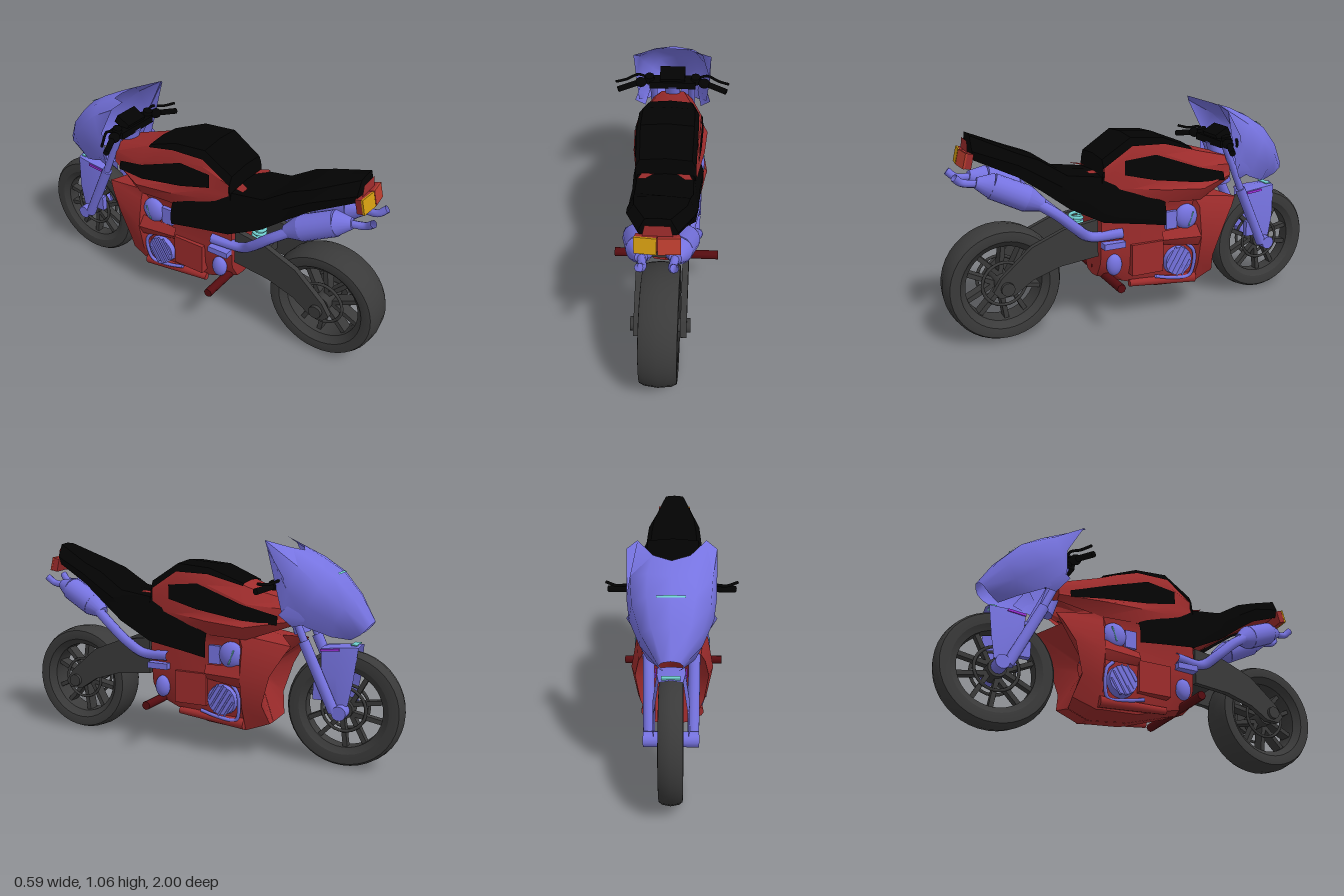
import * as THREE from 'three';
import { toCreasedNormals } from 'three/addons/utils/BufferGeometryUtils.js';

const mat = (name, color) => {
  const m = new THREE.MeshStandardMaterial({ color, side: THREE.DoubleSide });
  m.name = name;
  return m;
};

export function createModel() {
  const blue = mat('periwinkle blue', 0x7673e0), red = mat('body red', 0x9e2c2c), darkRed = mat('dark red', 0x560c10);
  const black = mat('black', 0x030303), grey = mat('tyre grey', 0x3a3a3a), amber = mat('amber', 0xd09a10);
  const lamp = mat('lamp red', 0xb83c2e), cyan = mat('cyan', 0x70d0d0), magenta = mat('magenta', 0xa030e0);
  const root = new THREE.Group();
  const V = (p) => new THREE.Vector3(...p);

  const add = (name, geo, m, parent = root) => {
    const mesh = new THREE.Mesh(geo, m);
    mesh.name = name;
    parent.add(mesh);
    return mesh;
  };
  const both = (fn) => [1, -1].forEach((s) => fn(s, s > 0 ? 'left' : 'right'));

  // Surface through rows of points
  const surface = (rows, crease = 0.6) => {
    const n = rows[0].length, idx = [];
    for (let i = 0; i < rows.length - 1; i++) {
      for (let j = 0; j < n - 1; j++) {
        const a = i * n + j, b = a + 1, c = a + n, d = c + 1;
        idx.push(a, c, b, b, c, d);
      }
    }
    const g = new THREE.BufferGeometry();
    g.setAttribute('position', new THREE.Float32BufferAttribute(rows.flat(2), 3));
    g.setIndex(idx);
    return toCreasedNormals(g, crease);
  };
  // Half rows run from the centre line outwards and are mirrored across x
  const shell = (rows, crease) => surface(rows.map((r) => [
    ...r.filter((p) => p[0] > 0).map(([x, y, z]) => [-x, y, z]).reverse(),
    ...r.filter((p, i) => p[0] > 0 || i === 0),
  ]), crease);
  const atZ = (z, pts) => pts.map(([x, y]) => [x, y, z]);

  // Straight rod between two points
  const rod = (name, a, b, r, m, r2 = r, sides = 14) => {
    const A = V(a), B = V(b), d = B.clone().sub(A);
    const mesh = add(name, new THREE.CylinderGeometry(r2, r, d.length(), sides), m);
    mesh.position.copy(A).lerp(B, 0.5);
    mesh.quaternion.setFromUnitVectors(new THREE.Vector3(0, 1, 0), d.normalize());
    return mesh;
  };
  const tube = (name, pts, r, m, seg = 28) =>
    add(name, new THREE.TubeGeometry(new THREE.CatmullRomCurve3(pts.map(V)), seg, r, 8), m);
  const box = (name, size, pos, m, parent = root) => {
    const mesh = add(name, new THREE.BoxGeometry(...size), m, parent);
    mesh.position.set(...pos);
    return mesh;
  };
  const blob = (name, size, pos, m) => {
    const mesh = add(name, new THREE.SphereGeometry(1, 18, 12), m);
    mesh.scale.set(...size);
    mesh.position.set(...pos);
  };

  // Wheels
  const wheel = (name, z, w) => {
    const g = new THREE.Group();
    g.name = name;
    g.position.set(0, 0.28, z);
    const prof = [[0.2, -0.75], [0.215, -0.95], [0.24, -1], [0.262, -0.97], [0.273, -0.7], [0.28, 0],
      [0.273, 0.7], [0.262, 0.97], [0.24, 1], [0.215, 0.95], [0.2, 0.75], [0.185, 0.6], [0.185, -0.6], [0.2, -0.75]]
      .map(([r, y]) => new THREE.Vector2(r, y * w));
    add('tyre', toCreasedNormals(new THREE.LatheGeometry(prof, 40), 0.5), grey, g).rotation.z = Math.PI / 2;
    add('hub', new THREE.CylinderGeometry(0.045, 0.045, w * 1.7, 16), grey, g).rotation.z = Math.PI / 2;
    for (let i = 0; i < 10; i++) {
      const arm = new THREE.Group();
      arm.name = 'spokeArm';
      arm.rotation.x = (i / 10) * Math.PI * 2;
      const s = add('spoke', new THREE.BoxGeometry(w * 0.7, 0.17, 0.022), grey, arm);
      s.position.y = 0.115;
      s.rotation.x = i % 2 ? 0.14 : -0.14;
      g.add(arm);
    }
    both((s, side) => {
      const disc = add(side + 'BrakeRing', new THREE.TorusGeometry(0.105, 0.008, 6, 32), grey, g);
      disc.rotation.y = Math.PI / 2;
      disc.position.x = s * w * 0.6;
    });
    root.add(g);
  };
  wheel('rearWheel', 0.72, 0.085);
  wheel('frontWheel', -0.72, 0.052);

  // Nose fairing with raised screen edges
  add('noseFairing', shell([
    [[0, 0.70, -0.845], [0.035, 0.69, -0.835], [0.05, 0.67, -0.82], [0.045, 0.64, -0.79], [0.03, 0.61, -0.74]],
    [[0, 0.82, -0.775], [0.08, 0.81, -0.76], [0.125, 0.77, -0.73], [0.13, 0.70, -0.69], [0.10, 0.63, -0.67]],
    [[0, 0.92, -0.69], [0.10, 0.91, -0.67], [0.165, 0.86, -0.63], [0.18, 0.77, -0.58], [0.14, 0.67, -0.57]],
    [[0, 0.975, -0.60], [0.10, 0.975, -0.57], [0.175, 0.95, -0.53], [0.195, 0.84, -0.49], [0.18, 0.73, -0.46]],
    [[0, 1.01, -0.50], [0.08, 1.025, -0.47], [0.15, 1.06, -0.36], [0.197, 1.03, -0.39], [0.195, 0.90, -0.47]],
  ], 1), blue);
  both((s, side) => add(side + 'NoseWing', surface([
    [[s * 0.155, 0.83, -0.54], [s * 0.2, 0.73, -0.45]],
    [[s * 0.13, 0.70, -0.62], [s * 0.15, 0.67, -0.50]],
  ]), blue));
  add('noseStripe', shell([
    [[0, 0.917, -0.699], [0.06, 0.911, -0.687]],
    [[0, 0.924, -0.692], [0.06, 0.918, -0.68]],
  ]), cyan);

  // Front mudguard with thin painted plates
  add('frontMudguard', shell([
    [[0, 0.57, -0.61], [0.06, 0.565, -0.61], [0.072, 0.44, -0.62], [0.075, 0.31, -0.69]],
    [[0, 0.585, -0.70], [0.06, 0.575, -0.70], [0.08, 0.44, -0.69], [0.08, 0.30, -0.715]],
    [[0, 0.59, -0.79], [0.05, 0.58, -0.785], [0.072, 0.42, -0.77], [0.075, 0.31, -0.75]],
  ], 1), blue);
  box('mudguardFrontPlate', [0.08, 0.005, 0.03], [0, 0.588, -0.76], cyan);
  both((s, side) => {
    box(side + 'MudguardStripe', [0.006, 0.012, 0.09], [s * 0.066, 0.562, -0.655], magenta).rotation.x = 0.1;
  });

  // Forks, axle ends and handlebars
  both((s, side) => {
    rod(side + 'ForkUpper', [s * 0.1, 0.86, -0.43], [s * 0.1, 0.5, -0.585], 0.018, blue);
    rod(side + 'ForkLower', [s * 0.1, 0.6, -0.54], [s * 0.095, 0.28, -0.69], 0.026, blue);
    rod(side + 'FrontAxle', [s * 0.05, 0.28, -0.72], [s * 0.12, 0.28, -0.72], 0.034, blue);
    box(side + 'Caliper', [0.03, 0.08, 0.06], [s * 0.085, 0.37, -0.62], blue);
    rod(side + 'Grip', [s * 0.1, 0.87, -0.45], [s * 0.28, 0.84, -0.37], 0.015, black);
    tube(side + 'Lever', [[s * 0.13, 0.87, -0.45], [s * 0.18, 0.885, -0.45], [s * 0.24, 0.872, -0.42], [s * 0.29, 0.877, -0.385]], 0.007, black);
    rod(side + 'Reservoir', [s * 0.12, 0.85, -0.44], [s * 0.12, 0.89, -0.43], 0.024, black);
    blob(side + 'SwitchHousing', [0.03, 0.025, 0.028], [s * 0.165, 0.86, -0.415], black);
  });
  box('tripleClamp', [0.24, 0.035, 0.08], [0, 0.85, -0.44], black);
  box('dash', [0.13, 0.045, 0.08], [0, 0.885, -0.45], black).rotation.x = 0.5;
  rod('steeringStem', [0, 0.85, -0.43], [0, 0.62, -0.5], 0.04, blue);

  // Fuel tank: red sides with a low flare, black pad and black side inserts
  add('tank', shell([
    atZ(0.24, [[0, 0.84], [0.11, 0.83], [0.135, 0.80], [0.135, 0.74], [0.137, 0.70], [0.13, 0.66]]),
    atZ(0.10, [[0, 0.935], [0.12, 0.925], [0.148, 0.86], [0.148, 0.73], [0.155, 0.69], [0.14, 0.62]]),
    atZ(-0.07, [[0, 0.92], [0.12, 0.91], [0.155, 0.84], [0.155, 0.71], [0.178, 0.67], [0.155, 0.60]]),
    atZ(-0.27, [[0, 0.84], [0.10, 0.83], [0.155, 0.76], [0.16, 0.68], [0.19, 0.655], [0.155, 0.59]]),
    atZ(-0.47, [[0, 0.78], [0.06, 0.775], [0.10, 0.74], [0.105, 0.70], [0.11, 0.685], [0.09, 0.66]]),
    atZ(-0.48, [[0, 0.71], [0.01, 0.71], [0.012, 0.71], [0.01, 0.70], [0.01, 0.70], [0.005, 0.70]]),
  ]), red);
  add('tankPad', shell([
    atZ(0.255, [[0, 0.74], [0.13, 0.72], [0.14, 0.71]]),
    atZ(0.245, [[0, 0.85], [0.12, 0.84], [0.14, 0.80]]),
    atZ(0.10, [[0, 0.943], [0.125, 0.933], [0.145, 0.895]]),
    atZ(-0.07, [[0, 0.928], [0.125, 0.918], [0.145, 0.89]]),
    atZ(-0.24, [[0, 0.859], [0.105, 0.85], [0.115, 0.84]]),
  ]), black);
  both((s, side) => {
    add(side + 'TankInsert', surface([
      [[s * 0.151, 0.83, 0.14], [s * 0.151, 0.76, 0.14]],
      [[s * 0.159, 0.845, -0.02], [s * 0.161, 0.72, -0.02]],
      [[s * 0.163, 0.76, -0.25], [s * 0.169, 0.685, -0.25]],
      [[s * 0.125, 0.71, -0.42], [s * 0.138, 0.67, -0.42]],
    ]), black);
    // Red tab behind the tank
    add(side + 'TankTab', surface([
      [[s * 0.05, 0.778, 0.262], [s * 0.11, 0.776, 0.262]],
      [[s * 0.09, 0.786, 0.315], [s * 0.125, 0.782, 0.31]],
    ]), red);
  });

  // Seat and tail, hollow below, with a red underside and end panel
  add('seatTail', shell([
    atZ(0.85, [[0, 0.96], [0.01, 0.96], [0.015, 0.93], [0.01, 0.91]]),
    atZ(0.84, [[0, 1.0], [0.05, 0.995], [0.08, 0.93], [0.06, 0.89]]),
    atZ(0.65, [[0, 0.915], [0.11, 0.91], [0.142, 0.86], [0.11, 0.80]]),
    atZ(0.55, [[0, 0.88], [0.12, 0.87], [0.152, 0.80], [0.13, 0.73]]),
    atZ(0.42, [[0, 0.79], [0.13, 0.785], [0.157, 0.72], [0.145, 0.63]]),
    atZ(0.25, [[0, 0.77], [0.13, 0.76], [0.157, 0.67], [0.15, 0.54]]),
    atZ(0.05, [[0, 0.70], [0.15, 0.665], [0.17, 0.60], [0.165, 0.51]]),
    atZ(-0.07, [[0, 0.64], [0.16, 0.605], [0.176, 0.55], [0.175, 0.49]]),
  ]), black);
  add('tailEndPanel', shell([atZ(0.853, [[0, 0.972], [0.05, 0.972]]), atZ(0.856, [[0, 0.915], [0.062, 0.915]])]), red);
  add('undertail', shell([
    atZ(0.835, [[0, 0.89], [0.06, 0.9]]), atZ(0.65, [[0, 0.80], [0.11, 0.815]]),
    atZ(0.42, [[0, 0.65], [0.14, 0.66]]), atZ(0.28, [[0, 0.54], [0.14, 0.58]]),
  ]), red);
  // Tail lamp: red housing with a coloured lens on each half
  both((s, side) => {
    const g = new THREE.Group();
    g.name = side + 'TailLamp';
    g.position.set(s * 0.045, 0.89, 0.866);
    g.rotation.set(-0.25, s * 0.12, 0);
    box('lampHousing', [0.088, 0.068, 0.03], [0, 0, -0.004], red, g);
    box('lampLens', [0.09, 0.07, 0.009], [0, 0, 0.015], s > 0 ? lamp : amber, g);
    root.add(g);
  });

  // Lower fairing: wide front cowl with a recessed nose, then a narrower engine bay
  add('lowerFairing', shell([
    atZ(-0.30, [[0, 0.42], [0.03, 0.42], [0.04, 0.41], [0.04, 0.40], [0.03, 0.36], [0.02, 0.34], [0.001, 0.34]]),
    [[0, 0.60, -0.40], [0.13, 0.575, -0.49], [0.15, 0.53, -0.46], [0.17, 0.43, -0.40], [0.15, 0.28, -0.355], [0.10, 0.18, -0.38], [0.001, 0.16, -0.36]],
    atZ(-0.26, [[0, 0.63], [0.15, 0.61], [0.168, 0.56], [0.195, 0.41], [0.165, 0.26], [0.11, 0.135], [0.001, 0.12]]),
    atZ(-0.235, [[0, 0.63], [0.15, 0.61], [0.135, 0.56], [0.14, 0.42], [0.135, 0.27], [0.11, 0.14], [0.001, 0.12]]),
    atZ(-0.05, [[0, 0.64], [0.15, 0.60], [0.135, 0.56], [0.14, 0.42], [0.135, 0.27], [0.10, 0.15], [0.001, 0.14]]),
    atZ(0.12, [[0, 0.60], [0.14, 0.57], [0.135, 0.54], [0.135, 0.42], [0.125, 0.30], [0.09, 0.20], [0.001, 0.19]]),
    atZ(0.255, [[0, 0.58], [0.125, 0.55], [0.125, 0.50], [0.12, 0.42], [0.11, 0.32], [0.06, 0.24], [0.001, 0.23]]),
    atZ(0.26, [[0, 0.42], [0.01, 0.42], [0.01, 0.41], [0.01, 0.40], [0.01, 0.39], [0.01, 0.38], [0.001, 0.38]]),
  ], 0.9), red);

  // Engine bay details on both sides
  both((s, side) => {
    // Red bridge, casing and lower rail
    add(side + 'FairingBridge', surface([
      [[s * 0.165, 0.47, -0.26], [s * 0.194, 0.41, -0.26], [s * 0.175, 0.36, -0.26]],
      [[s * 0.145, 0.45, -0.06], [s * 0.165, 0.41, -0.06], [s * 0.14, 0.38, -0.06]],
    ]), red);
    box(side + 'EngineCasing', [0.05, 0.16, 0.17], [s * 0.13, 0.325, 0.02], red);
    rod(side + 'LowerRail', [s * 0.125, 0.17, -0.26], [s * 0.105, 0.19, 0.1], 0.028, red, 0.018, 10);
    rod(side + 'ClutchCover', [s * 0.12, 0.285, -0.15], [s * 0.163, 0.285, -0.15], 0.078, blue, 0.072, 24);
    for (let i = -2; i <= 2; i++) {
      const h = 0.062 * Math.cos(i * 0.45);
      rod(side + 'CoverRib', [s * 0.164, 0.285 - h + i * 0.02, -0.15 + h * 0.6 + i * 0.02],
        [s * 0.164, 0.285 + h + i * 0.02, -0.15 - h * 0.6 + i * 0.02], 0.005, blue, 0.005, 6);
    }
    blob(side + 'CylinderHead', [0.035, 0.065, 0.062], [s * 0.145, 0.51, -0.195], blue);
    rod(side + 'HeadMark', [s * 0.176, 0.47, -0.195], [s * 0.176, 0.54, -0.22], 0.004, cyan, 0.004, 6);
    box(side + 'EngineFins', [0.03, 0.09, 0.06], [s * 0.14, 0.505, -0.11], blue);
    tube(side + 'FairingTrim', [[s * 0.15, 0.37, -0.2], [s * 0.158, 0.33, -0.235], [s * 0.152, 0.25, -0.24],
      [s * 0.14, 0.19, -0.22], [s * 0.14, 0.195, -0.12], [s * 0.135, 0.215, -0.03]], 0.009, blue);
    blob(side + 'SideCover', [0.03, 0.055, 0.04], [s * 0.125, 0.31, 0.19], blue);
    box(side + 'FootBracket', [0.05, 0.03, 0.11], [s * 0.14, 0.42, 0.2], blue);
    // Exhaust pipe, can and tip
    tube(side + 'ExhaustPipe', [[s * 0.125, 0.68, 0.58], [s * 0.152, 0.61, 0.48], [s * 0.145, 0.53, 0.39],
      [s * 0.115, 0.47, 0.31], [s * 0.135, 0.47, 0.15]], 0.026, blue);
    rod(side + 'ExhaustShoulder', [s * 0.125, 0.66, 0.54], [s * 0.105, 0.695, 0.61], 0.03, blue, 0.062, 18);
    rod(side + 'ExhaustCan', [s * 0.105, 0.695, 0.61], [s * 0.078, 0.765, 0.76], 0.062, blue, 0.06, 18);
    rod(side + 'ExhaustCone', [s * 0.078, 0.765, 0.76], [s * 0.068, 0.785, 0.83], 0.06, blue, 0.026, 18);
    tube(side + 'ExhaustTip', [[s * 0.068, 0.78, 0.82], [s * 0.06, 0.79, 0.89], [s * 0.07, 0.82, 0.925]], 0.018, blue, 12);
  });

  // Swingarm
  const arm = new THREE.Shape([[0.79, 0.27], [0.75, 0.33], [0.6, 0.46], [0.44, 0.525], [0.27, 0.55], [0.27, 0.365],
    [0.46, 0.345], [0.6, 0.30], [0.69, 0.24], [0.76, 0.235]].map(([z, y]) => new THREE.Vector2(-z, y)));
  const armGeo = new THREE.ExtrudeGeometry(arm, { depth: 0.028, bevelEnabled: false });
  armGeo.rotateY(Math.PI / 2);
  both((s, side) => {
    add(side + 'Swingarm', armGeo, grey).position.x = s > 0 ? 0.09 : -0.118;
    rod(side + 'RearAxle', [s * 0.06, 0.28, 0.725], [s * 0.135, 0.28, 0.725], 0.032, grey);
  });
  box('swingarmBridge', [0.2, 0.05, 0.12], [0, 0.4, 0.33], grey);

  // Rear spring
  const coil = Array.from({ length: 49 }, (_, i) => {
    const a = (i / 8) * Math.PI * 2;
    return [0.03 * Math.cos(a), 0.43 + i * 0.0028, 0.335 + 0.03 * Math.sin(a)];
  });
  tube('rearSpring', coil, 0.008, cyan, 96);

  // Foot rest bar
  rod('footRestBar', [-0.26, 0.238, 0.212], [0.26, 0.238, 0.212], 0.022, darkRed, 0.022, 8);

  return root;
}
